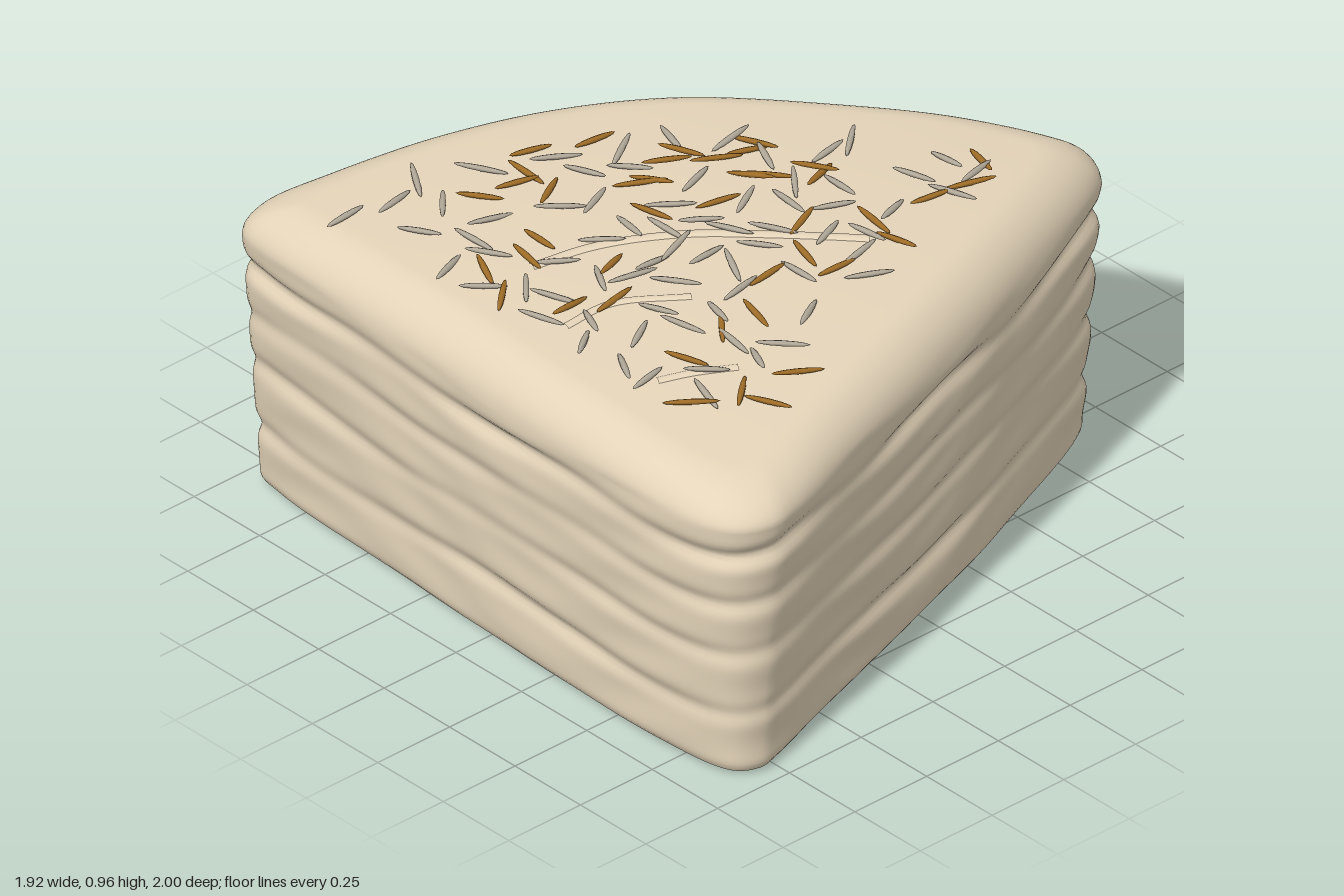
import * as THREE from 'three';
import { mergeGeometries } from 'three/addons/utils/BufferGeometryUtils.js';

const crumb = new THREE.MeshStandardMaterial({ color: 0xe4d4b9, side: THREE.DoubleSide });
crumb.name = 'pale crumb';
const brown = new THREE.MeshStandardMaterial({ color: 0xa06e28 });
brown.name = 'brown sprinkle';
const grey = new THREE.MeshStandardMaterial({ color: 0xb3aa9a });
grey.name = 'grey sprinkle';

const CENTRE = { x: -0.22, z: 0 };
const topY = (x, z) => 0.936 - 0.047 * (x * x + z * z);

function seeded(seed) {
  return () => (seed = (seed * 16807) % 2147483647) / 2147483647;
}

// Rounded wedge outline: curved back, tip on +x, straight front and right side
const outline = new THREE.CatmullRomCurve3([
  [-0.87, -0.96], [-0.78, -1], [-0.6, -0.975], [-0.3, -0.905], [0, -0.785], [0.3, -0.59],
  [0.6, -0.27], [0.81, -0.01], [0.93, 0.2], [0.957, 0.28], [0.93, 0.35], [0.86, 0.4],
  [0.4, 0.6], [0, 0.745], [-0.4, 0.875], [-0.7, 0.98], [-0.8, 1], [-0.89, 0.96],
  [-0.94, 0.86], [-0.957, 0.3], [-0.94, -0.1], [-0.92, -0.5], [-0.895, -0.86],
].map(([x, z]) => new THREE.Vector3(x, 0, z)), true, 'centripetal');

// Wavy layers pressed into the sides: [height, depth]
const GROOVES = [[0.19, 0.014], [0.38, 0.01], [0.54, 0.01], [0.69, 0.018]];

function layerOffset(y, u) {
  const a = u * Math.PI * 2;
  let d = -0.05 * (1 - y / 0.77);
  GROOVES.forEach(([g, depth], k) => {
    const wave = 0.01 * Math.sin(a * (5 + k) + k * 2);
    const fade = 1 + 0.4 * Math.sin(a * (4 + k) + k * 3);
    d -= depth * fade * Math.exp(-(((y - g - wave) / 0.026) ** 2));
  });
  d += 0.003 * Math.sin(y * 38 + 2 * Math.sin(a * 4)) * Math.sin(a * 7);
  return d - 0.02 * Math.max(0, 1 - y / 0.04) ** 2;
}

// Cake shell from rings: layered side, rounded rim, domed top, open underneath
function cakeGeometry() {
  const N = 240, SIDE = 60, RIM = 14, TOP = 24;
  const points = [], normals = [];
  for (let i = 0; i < N; i++) {
    points.push(outline.getPointAt(i / N));
    const t = outline.getTangentAt(i / N);
    normals.push({ x: t.z, z: -t.x });
  }
  const position = [], index = [];
  const place = (i, offset, scale) => ({
    x: CENTRE.x + (points[i].x + normals[i].x * offset - CENTRE.x) * scale,
    z: CENTRE.z + (points[i].z + normals[i].z * offset - CENTRE.z) * scale,
  });
  const rings = SIDE + RIM + TOP;
  for (let j = 0; j <= rings; j++) {
    for (let i = 0; i < N; i++) {
      let p, y;
      if (j <= SIDE) {
        y = 0.01 + 0.76 * j / SIDE;
        p = place(i, layerOffset(y, i / N), 1);
      } else if (j <= SIDE + RIM) {
        const t = (j - SIDE) / RIM * Math.PI / 2, k = 1 - Math.cos(t);
        p = place(i, -0.06 * k, 1 - 0.11 * k);
        y = THREE.MathUtils.lerp(0.77, topY(p.x, p.z), Math.sin(t));
      } else {
        const s = 1 - (j - SIDE - RIM) / TOP;
        p = place(i, -0.06 * s, 0.89 * s);
        y = topY(p.x, p.z);
      }
      position.push(p.x, y, p.z);
      if (j < rings) {
        const a = j * N + i, b = j * N + (i + 1) % N;
        index.push(a, a + N, b);
        if (j < rings - 1) index.push(b, a + N, b + N);
      }
    }
  }
  const g = new THREE.BufferGeometry();
  g.setAttribute('position', new THREE.Float32BufferAttribute(position, 3));
  g.setIndex(index);
  g.computeVertexNormals();
  return g;
}

// Soft raised fold lying on the top
function foldGeometry(path, radius) {
  const curve = new THREE.CatmullRomCurve3(
    path.map(([x, z]) => new THREE.Vector3(x, topY(x, z) - radius * 0.7, z)));
  return new THREE.TubeGeometry(curve, 40, radius, 12);
}

// Brown sprinkles as [x, z, heading in degrees]
const BROWN = [
  [-0.22, -0.57, 20], [-0.07, -0.49, 10], [-0.46, -0.5, 60], [-0.3, -0.5, 90], [-0.35, -0.48, 20],
  [-0.32, -0.39, -30], [-0.13, -0.25, 35], [-0.1, -0.24, 60], [0.05, -0.29, 60], [-0.01, -0.28, 25],
  [0.09, -0.2, 25], [0.18, -0.18, 15], [0.22, -0.2, 70], [-0.68, -0.24, -65], [-0.73, -0.12, -40],
  [-0.57, -0.2, -80], [-0.49, -0.24, 90], [-0.2, -0.13, 80], [-0.44, -0.02, -20], [-0.64, 0.04, -5],
  [-0.54, 0.1, -10], [-0.04, -0.05, 15], [0.1, -0.08, 55], [0.13, -0.05, 50], [0.25, 0, 60],
  [0.24, 0.03, -20], [0.05, 0.17, -20], [0.2, 0.28, -85], [0.18, 0.39, 80], [-0.02, 0.38, 5],
  [-0.04, 0.28, -75], [-0.18, 0.29, -5], [-0.32, 0.4, -75], [-0.42, 0.38, -50], [-0.58, 0.42, 65],
  [-0.55, 0.7, 70], [-0.41, 0.66, 25], [-0.57, 0.62, -40], [-0.7, 0.57, 45], [0.39, 0.29, 15],
  [0.51, 0.31, 25], [0.61, 0.24, -75],
];

// Grey sprinkles scattered evenly between the brown ones, inside the edge
function scatterGrey(count, rand) {
  const placed = [];
  for (let tries = 0; placed.length < count && tries < 20000; tries++) {
    const x = -0.75 + rand() * 1.36, z = -0.7 + rand() * 1.36;
    if (z > 0.49 - 0.34 * x || z < -0.42 + 0.85 * x) continue;
    if (placed.some(([a, b]) => Math.hypot(a - x, b - z) < 0.08)) continue;
    if (BROWN.some(([a, b]) => Math.hypot(a - x, b - z) < 0.055)) continue;
    placed.push([x, z, rand() * 180]);
  }
  return placed;
}

// Slivers with pointed ends, lying slightly tilted on the dome
function sprinkleGeometry(list, rand) {
  return mergeGeometries(list.map(([x, z, heading]) => {
    const g = new THREE.SphereGeometry(1, 6, 6);
    g.rotateZ(Math.PI / 2);
    g.scale(0.06 + rand() * 0.016, 0.008, 0.0095);
    g.rotateZ((rand() - 0.5) * 0.2);
    g.rotateY(-THREE.MathUtils.degToRad(heading));
    return g.translate(x, topY(x, z) + 0.006 + rand() * 0.009, z);
  }));
}

// Irregular flat scrap of the base
function scrapGeometry(x, z, r) {
  const shape = new THREE.Shape();
  for (let i = 0; i < 24; i++) {
    const a = i / 24 * Math.PI * 2;
    const q = r * (1 + 0.15 * Math.sin(2 * a + x * 9) + 0.1 * Math.sin(3 * a + z * 7));
    shape[i ? 'lineTo' : 'moveTo'](x + q * Math.cos(a), z + q * Math.sin(a));
  }
  return new THREE.ShapeGeometry(shape).rotateX(Math.PI / 2);
}

export function createModel() {
  const group = new THREE.Group();
  group.name = 'cakeSlice';
  const add = (name, geometry, material) => {
    const mesh = new THREE.Mesh(geometry, material);
    mesh.name = name;
    group.add(mesh);
  };

  add('cake', cakeGeometry(), crumb);

  add('topFolds', mergeGeometries([
    foldGeometry([[-0.58, -0.17], [-0.4, -0.12], [-0.2, 0], [-0.04, 0.15], [0.14, 0.33]], 0.024),
    foldGeometry([[-0.7, 0.09], [-0.55, 0.1], [-0.38, 0.22]], 0.02),
    foldGeometry([[-0.69, 0.43], [-0.6, 0.47], [-0.5, 0.53]], 0.02),
  ]), crumb);

  const rand = seeded(4217);
  add('brownSprinkles', sprinkleGeometry(BROWN, rand), brown);
  add('greySprinkles', sprinkleGeometry(scatterGrey(72, rand), rand), grey);

  add('baseScraps', mergeGeometries([
    [-0.7, 0.36, 0.15], [-0.6, -0.08, 0.08], [0.38, 0.29, 0.09], [0.47, -0.26, 0.06],
  ].map((s) => scrapGeometry(...s))), crumb);

  return group;
}
